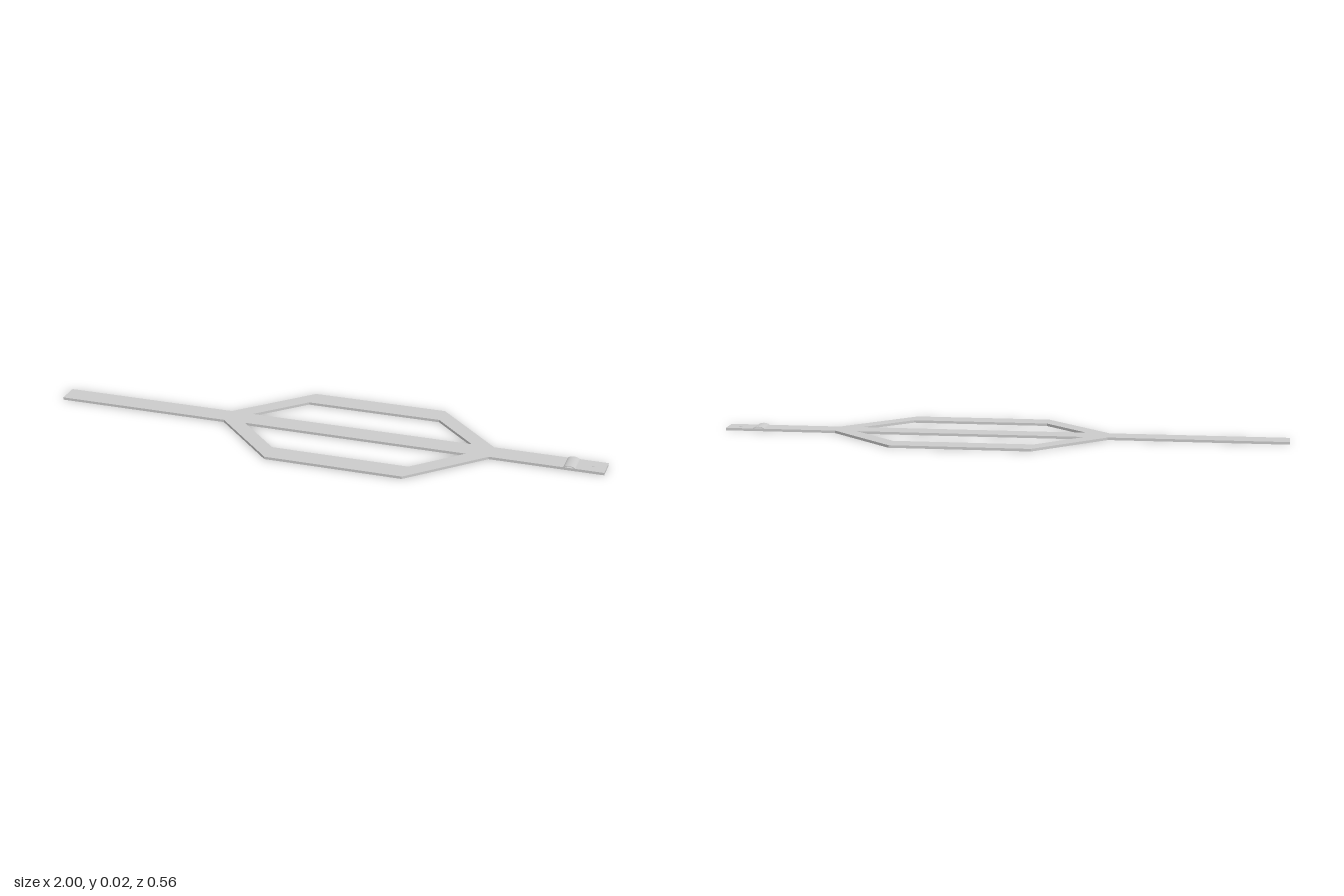
import * as THREE from 'three';

const HALF = 0.04;      // half width of the strap
const TOP = 0.009;      // strap thickness

export function createModel() {
  const group = new THREE.Group();
  const mat = new THREE.MeshStandardMaterial({ color: 0xcccccc, side: THREE.DoubleSide, flatShading: true });
  const add = (name, geo) => {
    const mesh = new THREE.Mesh(geo, mat);
    mesh.name = name;
    group.add(mesh);
    return mesh;
  };
  const points = (list) => list.map(([x, y]) => new THREE.Vector2(x, y));

  // Flat strap that splits into a central band and two hexagonal side bands
  const upper = [[1, HALF], [0.6, HALF], [0.36, 0.28], [-0.13, 0.28], [-0.37, HALF], [-1, HALF]];
  const lower = upper.map(([x, z]) => [x, -z]).reverse();
  const strap = new THREE.Shape(points([...upper, ...lower]));
  for (const s of [1, -1]) {
    strap.holes.push(new THREE.Path(points([[-0.29, s * HALF], [0.52, s * HALF], [0.36, s * 0.2], [-0.13, s * 0.2]])));
  }
  const strapGeo = new THREE.ExtrudeGeometry(strap, { depth: TOP, bevelEnabled: false });
  strapGeo.rotateX(-Math.PI / 2);
  add('splitStrap', strapGeo);

  // Low raised loop across the buckle end
  const loop = new THREE.Shape();
  loop.absellipse(0, 0, 0.022, 0.011, 0, Math.PI, false);
  loop.lineTo(-0.018, 0);
  loop.absellipse(0, 0, 0.018, 0.009, Math.PI, 0, true);
  const loopGeo = new THREE.ExtrudeGeometry(loop, { depth: 2 * HALF, bevelEnabled: false, curveSegments: 8 });
  loopGeo.translate(0.88, 0.005, -HALF);
  add('keeperLoop', loopGeo);

  // Small fastening stud near the tip
  const stud = add('stud', new THREE.CylinderGeometry(0.006, 0.006, 0.01, 8));
  stud.position.set(0.955, 0.005, 0);

  return group;
}
